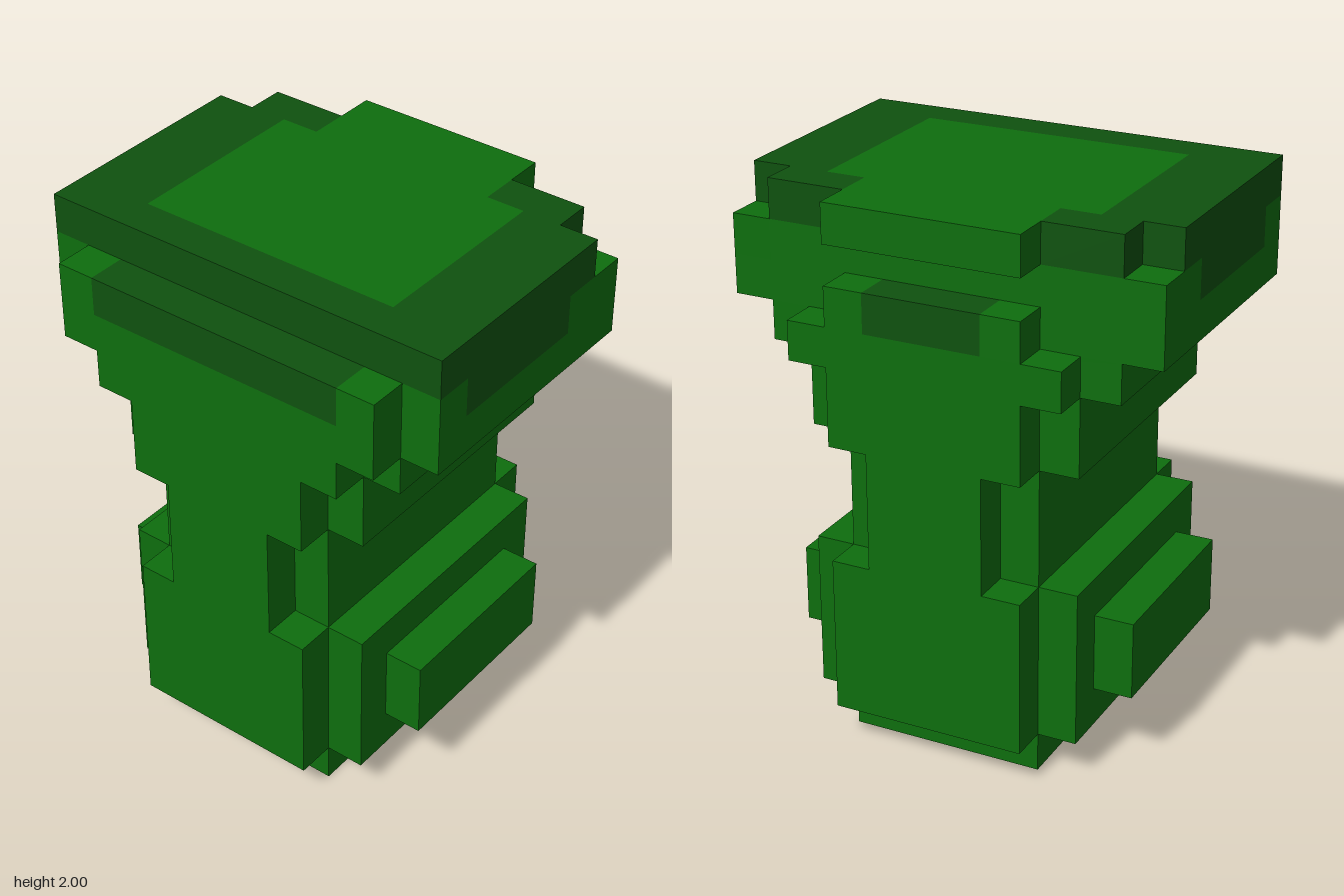
import * as THREE from 'three';

const CELL = 1 / 7; // the whole model sits on a grid of cubes
const light = new THREE.MeshStandardMaterial({ color: 0x0e6e0e, flatShading: true });
const dark = new THREE.MeshStandardMaterial({ color: 0x0f520f, flatShading: true });

// Box filling an inclusive range of cells on each axis
function block(parent, name, material, [x0, x1], [y0, y1], [z0, z1]) {
  const geometry = new THREE.BoxGeometry(
    (x1 - x0 + 1) * CELL, (y1 - y0 + 1) * CELL, (z1 - z0 + 1) * CELL);
  const mesh = new THREE.Mesh(geometry, material);
  mesh.name = name;
  mesh.position.set((x0 + x1) / 2 * CELL, (y0 + y1 + 1) / 2 * CELL, (z0 + z1) / 2 * CELL);
  parent.add(mesh);
}

// The same block on the left (+x) and the right (-x)
function pair(parent, name, material, [x0, x1], y, z) {
  block(parent, name + 'Left', material, [x0, x1], y, z);
  block(parent, name + 'Right', material, [-x1, -x0], y, z);
}

// Core with a narrower panel on the front and back
function tier(parent, name, halfX, y) {
  const panel = [1 - halfX, halfX - 1];
  block(parent, name + 'Core', light, [-halfX, halfX], y, [-3, 3]);
  block(parent, name + 'FrontPanel', light, panel, y, [4, 4]);
  block(parent, name + 'BackPanel', light, panel, y, [-4, -4]);
}

function section(parent, name) {
  const group = new THREE.Group();
  group.name = name;
  parent.add(group);
  return group;
}

export function createModel() {
  const model = new THREE.Group();
  model.name = 'blockColumn';

  // Foot and bulging lower body with side knobs
  const base = section(model, 'base');
  block(base, 'foot', light, [-2, 2], [0, 0], [-3, 3]);
  tier(base, 'lowerBody', 3, [1, 4]);
  pair(base, 'sideKnob', light, [4, 4], [2, 3], [-2, 2]);

  // Narrow waist flaring out in steps
  const stem = section(model, 'stem');
  tier(stem, 'waist', 2, [5, 7]);
  tier(stem, 'shoulder', 3, [8, 9]);
  tier(stem, 'flare', 4, [10, 10]);

  // Wide head, lower course
  const head = section(model, 'head');
  block(head, 'headLowerCore', light, [-5, 5], [11, 11], [-3, 3]);
  block(head, 'headFrontPanel', light, [-4, 4], [11, 11], [4, 4]);
  block(head, 'backPatch', dark, [-1, 1], [11, 11], [-4, -4]);
  pair(head, 'backPatchEnd', light, [2, 2], [11, 11], [-4, -4]);

  // Head, upper course with dark patches on the front and sides
  block(head, 'headUpperCore', light, [-4, 4], [12, 12], [-3, 3]);
  block(head, 'frontPatch', dark, [-3, 3], [12, 12], [4, 4]);
  pair(head, 'frontPatchEnd', light, [4, 4], [12, 12], [4, 4]);
  pair(head, 'sidePatch', dark, [5, 5], [12, 12], [-1, 2]);
  pair(head, 'sidePatchFrontEnd', light, [5, 5], [12, 12], [3, 3]);
  pair(head, 'sidePatchBackEnd', light, [5, 5], [12, 12], [-3, -2]);

  // Flat top: light centre and back tab inside a dark rim
  const top = section(model, 'top');
  block(top, 'topCentre', light, [-3, 3], [13, 13], [-2, 2]);
  block(top, 'backTab', light, [-2, 2], [13, 13], [-4, -3]);
  block(top, 'frontRim', dark, [-5, 5], [13, 13], [3, 3]);
  pair(top, 'sideRim', dark, [4, 5], [13, 13], [-2, 2]);
  pair(top, 'backRim', dark, [3, 4], [13, 13], [-3, -3]);

  return model;
}
